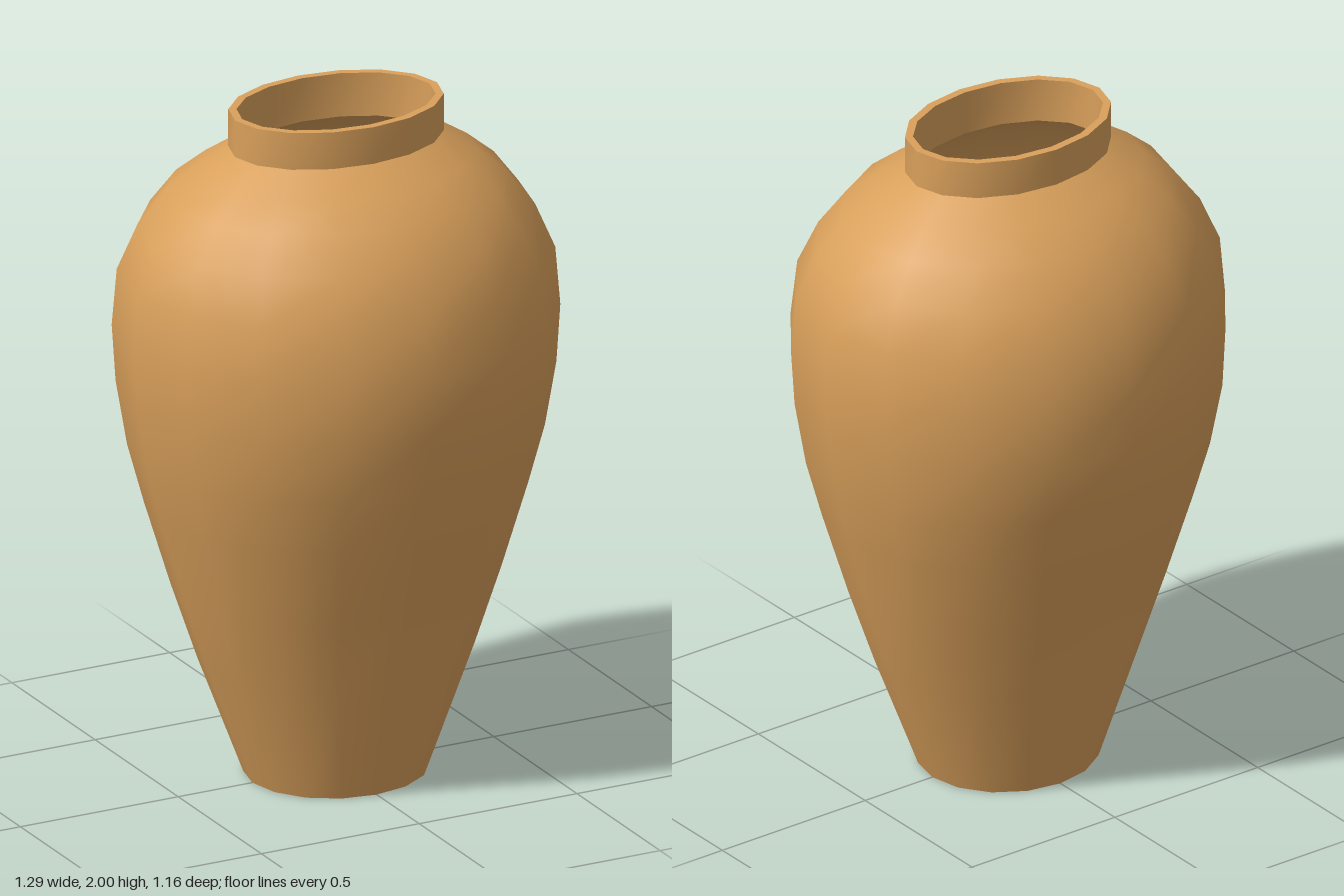
import * as THREE from 'three';

const SIDES = 16;
const WALL = 0.03;
const clay = new THREE.MeshStandardMaterial({ color: 0xd9a05b });

// Smooth oval skin through rings of [y, half width, half depth]
function skin(name, rings) {
  const positions = [], index = [];
  rings.forEach(([y, rx, rz], r) => {
    for (let i = 0; i < SIDES; i++) {
      const a = (i / SIDES) * Math.PI * 2;
      positions.push(rx * Math.cos(a), y, rz * Math.sin(a));
      if (r === rings.length - 1) continue;
      const p = r * SIDES + i, q = r * SIDES + (i + 1) % SIDES;
      index.push(p, p + SIDES, q, q, p + SIDES, q + SIDES);
    }
  });
  const geometry = new THREE.BufferGeometry();
  geometry.setAttribute('position', new THREE.Float32BufferAttribute(positions, 3));
  geometry.setIndex(index);
  geometry.computeVertexNormals();
  const mesh = new THREE.Mesh(geometry, clay);
  mesh.name = name;
  return mesh;
}

export function createModel() {
  const vase = new THREE.Group();
  vase.name = 'vase';

  // Tapered belly and rounded shoulder
  const profile = [
    [0, 0.265, 0.245], [0.35, 0.402, 0.335], [0.58, 0.48, 0.405],
    [0.83, 0.555, 0.483], [1.0, 0.6, 0.535], [1.19, 0.63, 0.577],
    [1.36, 0.643, 0.579], [1.53, 0.632, 0.55], [1.66, 0.577, 0.485],
    [1.76, 0.5, 0.41], [1.83, 0.415, 0.32], [1.89, 0.32, 0.227],
  ];
  vase.add(skin('body', profile));
  vase.add(skin('base', [[0, 0, 0], profile[0]]));

  // Upright oval neck with a flat rim
  const outer = [2, 0.32, 0.227], inner = [2, 0.297, 0.203];
  vase.add(skin('neck', [[1.89, 0.32, 0.227], outer]));
  vase.add(skin('rim', [outer, inner]));
  vase.add(skin('neckInside', [inner, [1.87, 0.297, 0.203]]));

  // Hollow inside, following the body from the neck down to the floor
  const hollow = profile.slice(1, -1).reverse()
    .map(([y, rx, rz]) => [y - 0.01, rx - WALL, rz - WALL]);
  const floor = [WALL, 0.245, 0.222];
  vase.add(skin('inside', [[1.87, 0.297, 0.203], ...hollow, floor]));
  vase.add(skin('floor', [floor, [WALL, 0, 0]]));

  return vase;
}
